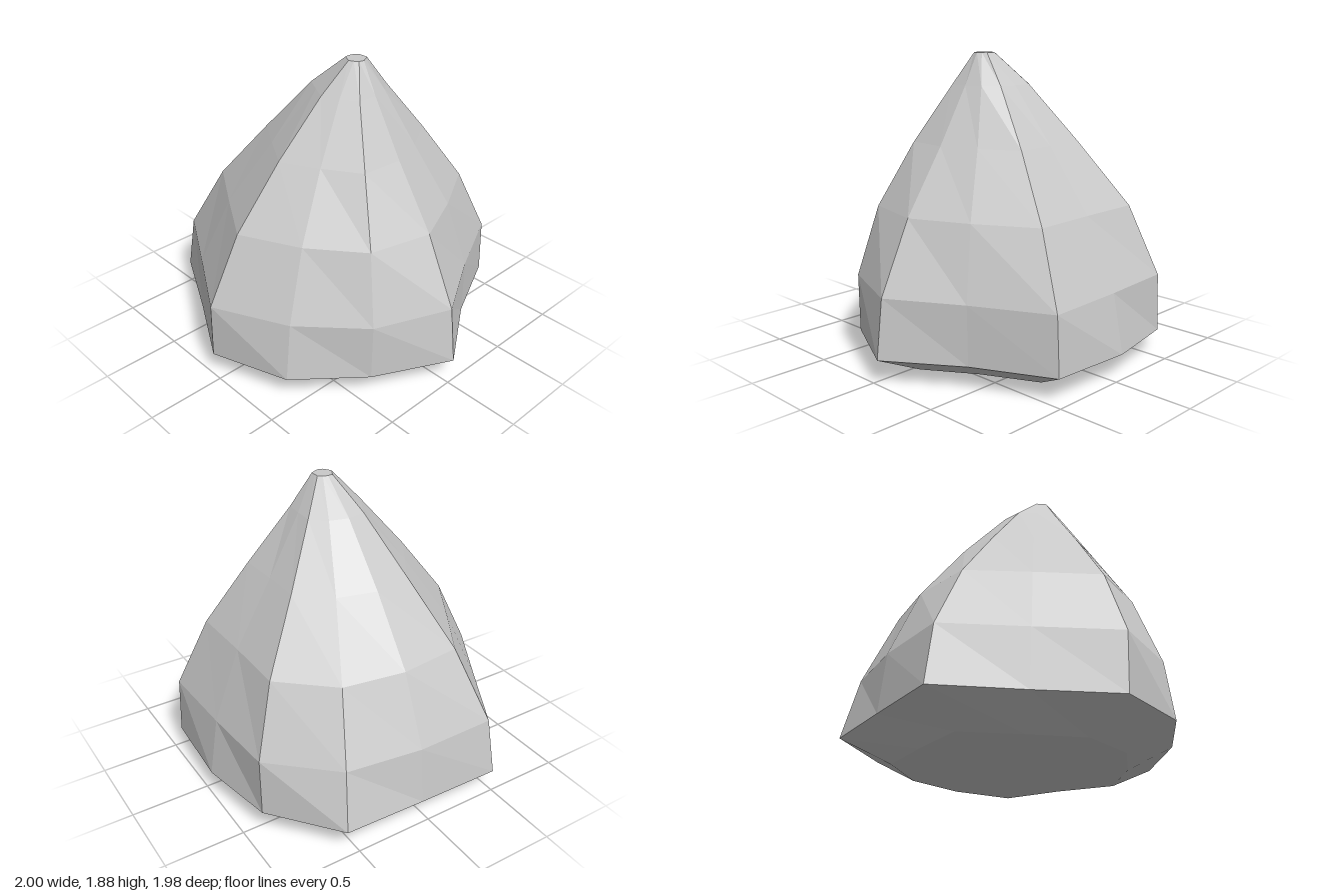
import * as THREE from 'three';

// Cross-sections from bottom to top: height, centre x, then radius at every 30 degrees from +x towards +z
const RINGS = [
  { y: 0, cx: -0.065, r: [0.745, 0.67, 0.69, 0.70, 0.635, 0.75, 0.655, 0.74, 0.715, 0.695, 0.75, 0.625] },
  { y: 0.15, cx: -0.065, r: [1.065, 0.95, 0.99, 1.03, 0.905, 1.08, 0.925, 1.05, 0.99, 0.95, 1.06, 0.88] },
  { y: 0.515, cx: -0.053, r: [1.01, 0.945, 0.93, 1.03, 0.89, 1.03, 0.90, 0.965, 0.985, 0.885, 1.04, 0.87] },
  { y: 0.95, cx: -0.025, r: [0.775, 0.785, 0.74, 0.82, 0.705, 0.80, 0.74, 0.785, 0.81, 0.70, 0.82, 0.71] },
  { y: 1.34, cx: 0.015, r: [0.475, 0.525, 0.465, 0.52, 0.445, 0.50, 0.485, 0.49, 0.51, 0.44, 0.52, 0.45] },
  { y: 1.685, cx: 0.07, r: [0.215, 0.24, 0.212, 0.23, 0.205, 0.24, 0.235, 0.235, 0.24, 0.205, 0.225, 0.215] },
  { y: 1.875, cx: 0.125, r: [0.062, 0.063, 0.058, 0.064, 0.056, 0.066, 0.062, 0.063, 0.064, 0.056, 0.064, 0.056] },
];
const SIDES = 12;
const CZ = -0.04;

function leaningCone() {
  const pos = [];
  const idx = [];
  for (const { y, cx, r } of RINGS) {
    for (let j = 0; j < SIDES; j++) {
      const a = (j / SIDES) * Math.PI * 2;
      pos.push(cx + r[j] * Math.cos(a), y, CZ + r[j] * Math.sin(a));
    }
  }
  // Side facets
  for (let i = 0; i < RINGS.length - 1; i++) {
    for (let j = 0; j < SIDES; j++) {
      const k = (j + 1) % SIDES;
      const a = i * SIDES + j, b = i * SIDES + k;
      const c = b + SIDES, d = a + SIDES;
      idx.push(a, d, c, a, c, b);
    }
  }
  // Bottom and top caps
  const last = RINGS.length - 1;
  const bottom = pos.length / 3;
  pos.push(RINGS[0].cx, RINGS[0].y, CZ, RINGS[last].cx, RINGS[last].y, CZ);
  for (let j = 0; j < SIDES; j++) {
    const k = (j + 1) % SIDES;
    idx.push(bottom, j, k, bottom + 1, last * SIDES + k, last * SIDES + j);
  }
  const indexed = new THREE.BufferGeometry();
  indexed.setAttribute('position', new THREE.Float32BufferAttribute(pos, 3));
  indexed.setIndex(idx);
  const geo = indexed.toNonIndexed();
  geo.computeVertexNormals();
  return geo;
}

export function createModel() {
  const stone = new THREE.MeshStandardMaterial({ color: 0xc9c9c9, flatShading: true });
  stone.name = 'stone grey';
  const rock = new THREE.Mesh(leaningCone(), stone);
  rock.name = 'pointedRock';
  const group = new THREE.Group();
  group.name = 'rock';
  group.add(rock);
  return group;
}
